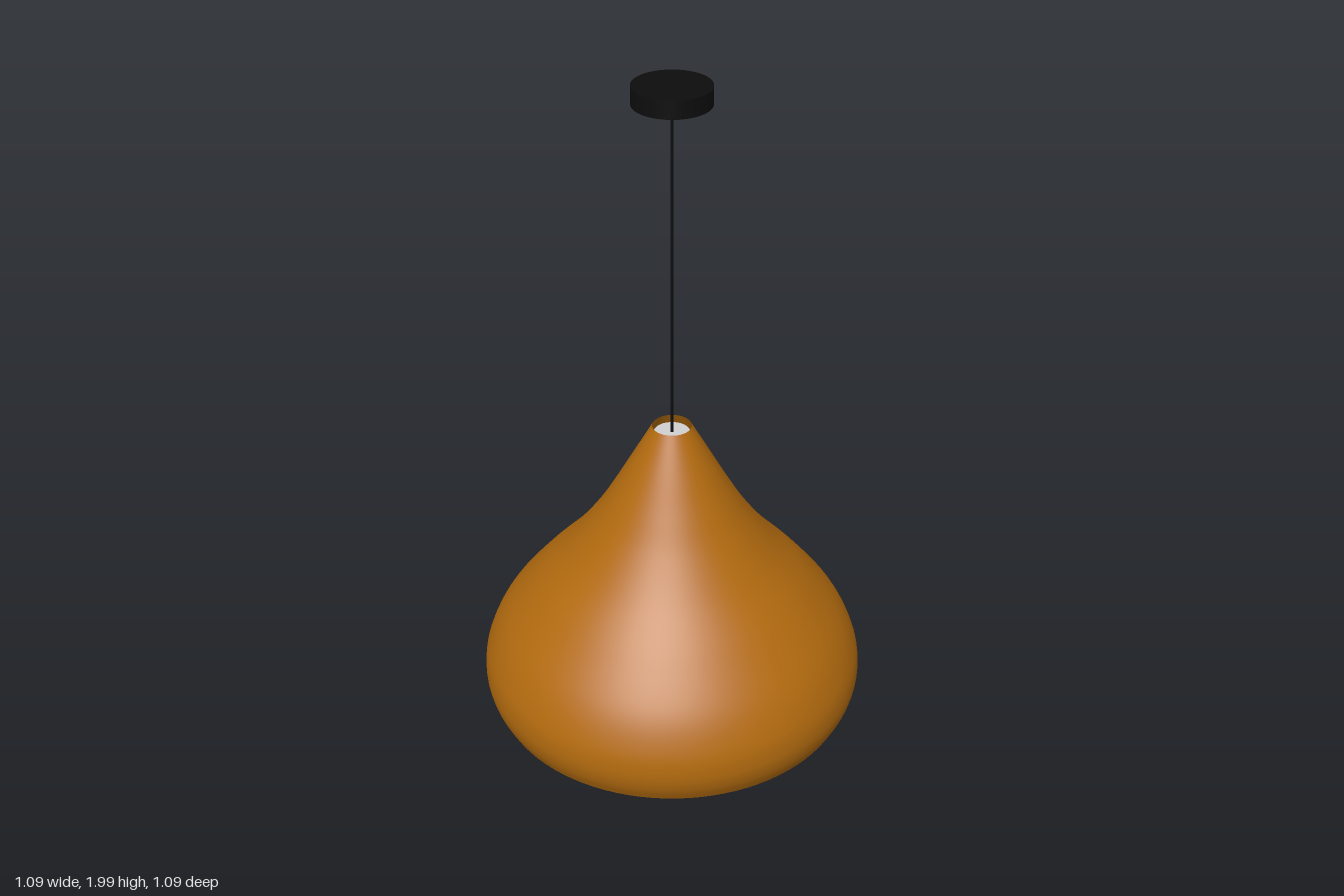
import * as THREE from 'three';

const material = (name, color, side = THREE.FrontSide) => {
  const m = new THREE.MeshStandardMaterial({ color, side });
  m.name = name;
  return m;
};

// Revolve a smooth curve through [radius, height] points, listed bottom to top.
function turned(points, steps) {
  const curve = new THREE.SplineCurve(points.map(([r, y]) => new THREE.Vector2(r, y)));
  const profile = curve.getPoints(steps);
  profile.forEach((p) => { p.x = Math.max(p.x, 0); });
  return new THREE.LatheGeometry(profile, 96);
}

export function createModel() {
  const group = new THREE.Group();
  group.name = 'pendantLamp';
  const amber = material('amber', 0xb36b0f, THREE.DoubleSide);
  const paleGrey = material('pale grey', 0xd0d0d0);
  const black = material('black', 0x0d0d0d);

  const add = (name, geometry, mat, y = 0) => {
    const mesh = new THREE.Mesh(geometry, mat);
    mesh.name = name;
    mesh.position.y = y;
    group.add(mesh);
  };

  // Thin bell-shaped shade, open at both ends
  add('shade', turned([
    [0.515, 0.118], [0.537, 0.165], [0.546, 0.22], [0.535, 0.29], [0.49, 0.385],
    [0.4, 0.5], [0.3, 0.61], [0.222, 0.715], [0.165, 0.81], [0.11, 0.91], [0.055, 1.01],
  ], 72), amber);

  // Bulb with a flattened base and a neck rising into the shade
  add('bulb', turned([
    [0, 0.006], [0.06, 0.009], [0.12, 0.022], [0.175, 0.063], [0.21, 0.115],
    [0.221, 0.165], [0.21, 0.24], [0.182, 0.33], [0.145, 0.42], [0.11, 0.54],
    [0.085, 0.7], [0.065, 0.85], [0.05, 0.99],
  ], 72), paleGrey);

  // Flat cap closing the neck
  const cap = new THREE.CircleGeometry(0.05, 48);
  cap.rotateX(-Math.PI / 2);
  add('neckCap', cap, paleGrey, 0.99);

  // Cord and ceiling mount
  add('cord', new THREE.CylinderGeometry(0.004, 0.004, 0.98, 12), black, 1.47);
  add('ceilingMount', new THREE.CylinderGeometry(0.105, 0.105, 0.05, 64), black, 1.975);

  return group;
}
